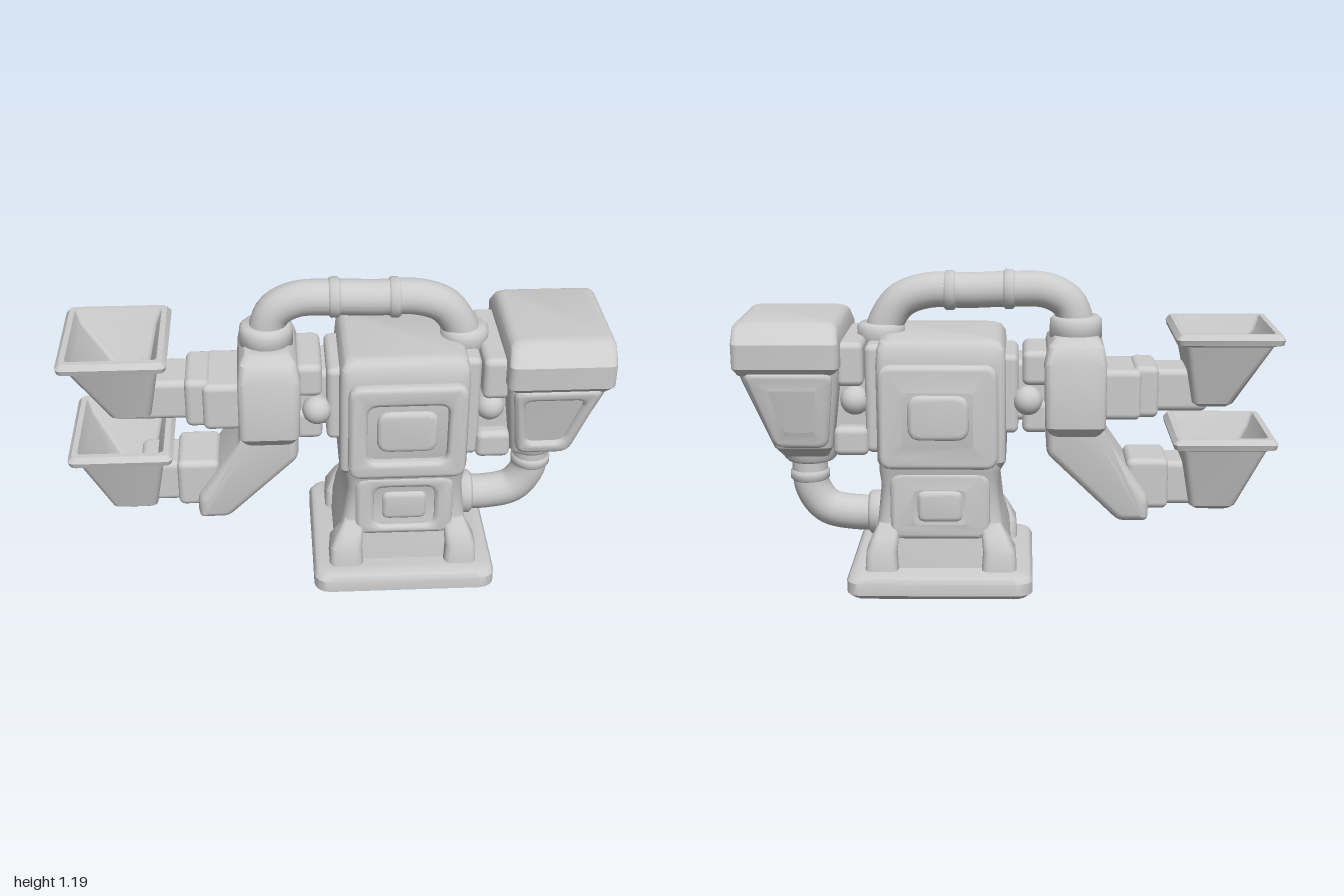
import * as THREE from 'three';
import { toCreasedNormals } from 'three/addons/utils/BufferGeometryUtils.js';
import { RoundedBoxGeometry } from 'three/addons/geometries/RoundedBoxGeometry.js';

const material = new THREE.MeshStandardMaterial({ color: 0xcccccc });

// Stack of rounded rectangles, each [y, x0, x1, half depth, corner radius], capped at both ends
function loft(sections, zc = 0) {
  const pos = [], index = [], steps = 4, n = 4 * (steps + 1);
  for (const [y, x0, x1, hz, r] of sections) {
    const cx = (x0 + x1) / 2, hx = (x1 - x0) / 2;
    for (let q = 0; q < 4; q++) {
      const sx = q === 0 || q === 3 ? 1 : -1, sz = q < 2 ? 1 : -1;
      for (let k = 0; k <= steps; k++) {
        const a = (q + k / steps) * Math.PI / 2;
        pos.push(cx + sx * (hx - r) + r * Math.cos(a), y, zc + sz * (hz - r) + r * Math.sin(a));
      }
    }
  }
  const last = sections.length - 1;
  for (let s = 0; s < last; s++) for (let i = 0; i < n; i++) {
    const a = s * n + i, c = s * n + (i + 1) % n;
    index.push(a, a + n, c, a + n, c + n, c);
  }
  for (let i = 1; i < n - 1; i++) index.push(0, i, i + 1, last * n, last * n + i + 1, last * n + i);
  const g = new THREE.BufferGeometry();
  g.setAttribute('position', new THREE.Float32BufferAttribute(pos, 3));
  g.setIndex(index);
  return toCreasedNormals(g, 0.6);
}

// Polygon with softened corners
function softPath(points, r, path = new THREE.Shape()) {
  const v = points.map(p => new THREE.Vector2(...p));
  v.forEach((p, i) => {
    const toward = o => p.clone().add(o.clone().sub(p).setLength(r));
    const a = toward(v[(i + v.length - 1) % v.length]), b = toward(v[(i + 1) % v.length]);
    if (i) path.lineTo(a.x, a.y); else path.moveTo(a.x, a.y);
    path.quadraticCurveTo(p.x, p.y, b.x, b.y);
  });
  path.closePath();
  return path;
}

// Raised bevelled plate facing +z (side 1) or -z (side -1), with optional window
function plate(outer, inner, depth, side, r = 0.04) {
  const flip = pts => pts.map(([x, y]) => [x * side, y]);
  const shape = softPath(flip(outer), r);
  if (inner) shape.holes.push(softPath(flip(inner), r * 0.8, new THREE.Path()));
  const b = 0.018;
  const g = new THREE.ExtrudeGeometry(shape, {
    depth: depth - b, bevelThickness: b, bevelSize: b, bevelOffset: -b, bevelSegments: 3, curveSegments: 5
  });
  if (side < 0) g.rotateY(Math.PI);
  return toCreasedNormals(g, 0.6);
}

const rect = (x0, x1, y0, y1) => [[x0, y0], [x1, y0], [x1, y1], [x0, y1]];

export function createModel() {
  const model = new THREE.Group();
  const add = (name, geometry) => {
    const mesh = new THREE.Mesh(geometry, material);
    mesh.name = name;
    model.add(mesh);
    return mesh;
  };
  const box = (name, x0, x1, y0, y1, hz, r = 0.025, zc = 0) =>
    add(name, new RoundedBoxGeometry(x1 - x0, y1 - y0, hz * 2, 3, r))
      .position.set((x0 + x1) / 2, (y0 + y1) / 2, zc);

  // Base slab
  add('base', loft([
    [0, -0.07, 0.58, 0.31, 0.05], [0.02, -0.09, 0.6, 0.335, 0.06],
    [0.065, -0.09, 0.6, 0.335, 0.06], [0.083, -0.08, 0.59, 0.325, 0.06], [0.09, -0.065, 0.575, 0.31, 0.05]
  ]));

  // Pedestal, with a foot at each corner
  add('pedestal', loft([
    [0.08, -0.005, 0.51, 0.225, 0.04], [0.18, 0.0, 0.5, 0.215, 0.04], [0.26, 0.025, 0.49, 0.203, 0.04],
    [0.4, 0.04, 0.475, 0.2, 0.04], [0.46, 0.03, 0.48, 0.22, 0.04], [0.5, 0.02, 0.48, 0.225, 0.04]
  ]));
  for (const side of [1, -1]) {
    for (const [x0, x1, t0, t1] of [[-0.03, 0.1, 0.03, 0.1], [0.41, 0.535, 0.41, 0.485]])
      add('foot', loft([
        [0.08, x0, x1, 0.075, 0.03], [0.16, x0 + 0.005, x1 - 0.005, 0.07, 0.03],
        [0.21, (x0 + t0) / 2, (x1 + t1) / 2, 0.045, 0.025], [0.26, t0, t1, 0.012, 0.01]
      ], side * 0.195));
    add('pedestalFrame', plate(rect(0.07, 0.44, 0.2, 0.46), rect(0.14, 0.37, 0.24, 0.41), 0.03, side, 0.05))
      .position.z = side * 0.19;
    add('pedestalPad', plate(rect(0.17, 0.34, 0.265, 0.385), null, 0.02, side, 0.03)).position.z = side * 0.195;
  }

  // Main housing with framed panels front and back
  add('housing', loft([
    [0.46, 0.03, 0.47, 0.2, 0.03], [0.5, 0.01, 0.485, 0.225, 0.03], [0.86, 0.01, 0.485, 0.23, 0.03],
    [0.92, 0.015, 0.48, 0.225, 0.03], [0.945, 0.03, 0.47, 0.21, 0.03], [0.955, 0.05, 0.45, 0.19, 0.03]
  ]));
  for (const side of [1, -1]) {
    add('housingFrame', plate(rect(0.04, 0.475, 0.48, 0.87), rect(0.11, 0.405, 0.55, 0.79), 0.05, side, 0.05))
      .position.z = side * 0.212;
    add('housingPad', plate(rect(0.145, 0.37, 0.585, 0.755), null, 0.03, side, 0.05)).position.z = side * 0.215;
  }

  // Couplings on both sides of the housing
  box('rightCoupling', 0.46, 0.53, 0.52, 0.93, 0.17);
  box('rightCouplingCore', 0.48, 0.68, 0.56, 0.88, 0.13);
  box('rightUpperCollar', 0.53, 0.63, 0.78, 0.945, 0.21);
  box('rightLowerCollar', 0.52, 0.65, 0.51, 0.62, 0.18);
  box('leftCouplingCore', -0.16, 0.05, 0.63, 0.86, 0.11);
  box('leftUpperCollar', -0.15, -0.05, 0.77, 0.9, 0.14);
  box('leftLowerCollar', -0.15, -0.05, 0.59, 0.71, 0.14);
  box('leftInnerCollar', -0.035, 0.04, 0.59, 0.89, 0.15);
  for (const side of [1, -1]) for (const x of [-0.07, 0.57]) {
    const bolt = add('couplingBolt', new THREE.SphereGeometry(0.055, 16, 12));
    bolt.position.set(x, 0.715, side * 0.13);
  }

  // Right tank: hopper body, chamfered lid and framed sides
  add('tankBody', loft([
    [0.49, 0.68, 0.85, 0.11, 0.03], [0.545, 0.65, 0.87, 0.195, 0.035],
    [0.8, 0.62, 0.97, 0.24, 0.035], [0.86, 0.615, 0.99, 0.25, 0.035]
  ]));
  add('tankLid', loft([
    [0.83, 0.635, 0.985, 0.25, 0.03], [0.86, 0.61, 1, 0.28, 0.03], [0.95, 0.61, 1, 0.283, 0.03],
    [1.0, 0.62, 1, 0.235, 0.03], [1.015, 0.635, 0.99, 0.215, 0.03], [1.02, 0.65, 0.975, 0.2, 0.03]
  ]));
  for (const side of [1, -1]) {
    const frame = add('tankFrame', plate(
      [[0.665, -0.14], [0.86, -0.14], [0.965, 0.16], [0.635, 0.16]],
      [[0.7, -0.09], [0.835, -0.09], [0.9, 0.11], [0.68, 0.11]], 0.03, side));
    frame.position.set(0, 0.69, side * 0.21);
    frame.rotation.x = side * 0.17;
  }

  // Pipes with rings
  const pipe = (name, pts, r) => {
    const curve = new THREE.CatmullRomCurve3(pts.map(([x, y]) => new THREE.Vector3(x, y, 0)));
    add(name, new THREE.TubeGeometry(curve, 48, r, 20));
  };
  const ring = (name, x, y, r, length, alongX) => {
    const h = length / 2, c = 0.012;
    const g = new THREE.LatheGeometry(
      [[0, -h], [r - c, -h], [r, c - h], [r, h - c], [r - c, h], [0, h]].map(p => new THREE.Vector2(...p)), 24);
    if (alongX) g.rotateZ(Math.PI / 2);
    add(name, toCreasedNormals(g, 0.9)).position.set(x, y, 0);
  };
  pipe('topPipe', [[-0.25, 0.9], [-0.25, 0.98], [-0.22, 1.06], [-0.14, 1.105], [0, 1.11], [0.15, 1.105],
    [0.3, 1.105], [0.4, 1.07], [0.455, 1.0], [0.48, 0.92], [0.48, 0.86]], 0.067);
  ring('topPipeRing', 0, 1.11, 0.075, 0.05, true);
  ring('topPipeRing', 0.22, 1.105, 0.075, 0.05, true);
  ring('topPipeLeftCollar', -0.25, 0.965, 0.098, 0.09);
  ring('topPipeRightCollar', 0.48, 0.94, 0.09, 0.09);
  pipe('lowerPipe', [[0.76, 0.52], [0.765, 0.43], [0.755, 0.34], [0.7, 0.265], [0.6, 0.24], [0.46, 0.24]], 0.068);
  ring('lowerPipeTopCollar', 0.76, 0.5, 0.1, 0.09);
  ring('lowerPipeRing', 0.765, 0.395, 0.075, 0.05);
  ring('lowerPipeSideCollar', 0.51, 0.24, 0.085, 0.06, true);

  // Left manifold and the arm slanting down from it
  add('manifold', loft([
    [0.57, -0.34, -0.16, 0.15, 0.03], [0.62, -0.36, -0.135, 0.19, 0.03], [0.86, -0.36, -0.13, 0.197, 0.03],
    [0.92, -0.35, -0.145, 0.17, 0.03], [0.945, -0.33, -0.17, 0.13, 0.03]
  ]));
  const arm = new THREE.ExtrudeGeometry(softPath(
    [[-0.35, 0.7], [-0.36, 0.58], [-0.525, 0.34], [-0.525, 0.25], [-0.41, 0.25], [-0.14, 0.51], [-0.14, 0.7]], 0.025),
  { depth: 0.24, bevelThickness: 0.04, bevelSize: 0.03, bevelOffset: -0.03, bevelSegments: 3 });
  arm.translate(0, 0, -0.12);
  add('arm', toCreasedNormals(arm, 0.6));

  // Open hoppers: up the outside, over the rim and down the inside
  const hopper = (name, y0, y1, b0, b1, t0, t1) => add(name, loft([
    [y0, b0 + 0.02, b1 - 0.02, 0.12, 0.02], [y0 + 0.015, b0, b1, 0.14, 0.025],
    [y1 - 0.05, t0 + 0.035, t1 - 0.035, 0.2, 0.025], [y1 - 0.04, t0 + 0.005, t1 - 0.005, 0.23, 0.025],
    [y1 - 0.02, t0, t1, 0.236, 0.025], [y1, t0 + 0.015, t1 - 0.015, 0.222, 0.02],
    [y1, t0 + 0.035, t1 - 0.035, 0.2, 0.015], [y1 - 0.05, t0 + 0.055, t1 - 0.055, 0.18, 0.015],
    [y0 + 0.06, b0 + 0.03, b1 - 0.02, 0.115, 0.015]
  ]));
  hopper('upperHopper', 0.69, 0.98, -0.83, -0.68, -1, -0.605);
  hopper('lowerHopper', 0.295, 0.59, -0.85, -0.68, -0.99, -0.605);

  // Hopper outlets
  box('upperOutlet', -0.74, -0.5, 0.665, 0.825, 0.1);
  box('upperOutletCollar', -0.555, -0.46, 0.645, 0.84, 0.125);
  box('upperOutletFlange', -0.49, -0.34, 0.64, 0.83, 0.145);
  box('lowerOutlet', -0.74, -0.48, 0.3, 0.47, 0.095);
  box('lowerOutletCollar', -0.6, -0.44, 0.29, 0.485, 0.12);

  return model;
}
